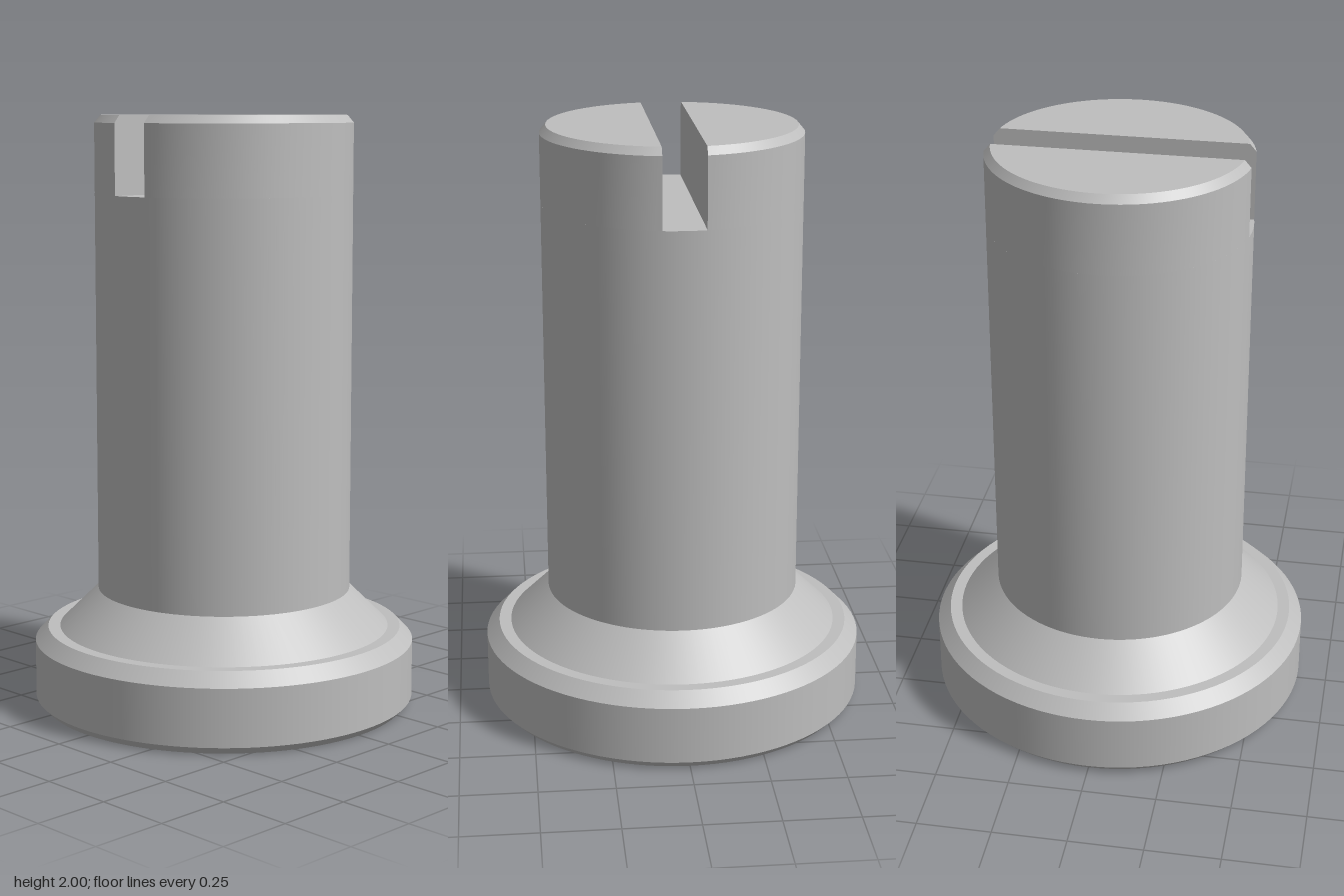
import * as THREE from 'three';
import { mergeGeometries } from 'three/addons/utils/BufferGeometryUtils.js';

const SEGMENTS = 96;
const SLOT_HALF = 0.07, SLOT_FLOOR = 1.742;

// Turned solid: every profile step is its own band, so edges between steps stay sharp.
function turned(profile) {
  const bands = [];
  for (let i = 0; i < profile.length - 1; i++) {
    const pair = [profile[i], profile[i + 1]].map(([r, y]) => new THREE.Vector2(r, y));
    bands.push(new THREE.LatheGeometry(pair, SEGMENTS));
  }
  return mergeGeometries(bands);
}

// Surface between two rows of points.
function strip(lower, upper) {
  const n = lower.length, index = [];
  for (let j = 0; j < n - 1; j++) {
    index.push(j, n + j, j + 1, j + 1, n + j, n + j + 1);
  }
  const g = new THREE.BufferGeometry().setFromPoints([...lower, ...upper]);
  g.setIndex(index);
  g.computeVertexNormals();
  return g;
}

// Arc of radius r at height y, cut off at the slot wall.
function arc(r, y) {
  const start = Math.asin(SLOT_HALF / r), points = [];
  for (let j = 0; j <= SEGMENTS / 2; j++) {
    const a = start + (Math.PI - 2 * start) * j / (SEGMENTS / 2);
    points.push(new THREE.Vector3(r * Math.cos(a), y, r * Math.sin(a)));
  }
  return points;
}

// One half of the slotted end: curved side, chamfer, slot wall and flat top.
function slottedHalf() {
  const rows = [arc(0.432, SLOT_FLOOR), arc(0.432, 1.975), arc(0.411, 2)];
  const parts = [];
  for (let i = 0; i < 2; i++) {
    parts.push(strip(rows[i], rows[i + 1]));
    const ends = row => [row[row.length - 1], row[0]];
    parts.push(strip(ends(rows[i]), ends(rows[i + 1])));
  }
  const chord = rows[2].map(p => new THREE.Vector3(p.x, p.y, SLOT_HALF));
  parts.push(strip(rows[2], chord));
  return mergeGeometries(parts);
}

export function createModel() {
  const model = new THREE.Group();
  model.name = 'slottedPin';
  const steel = new THREE.MeshStandardMaterial({ color: 0xbebebe });
  steel.name = 'grey steel';

  const add = (name, geometry) => {
    const mesh = new THREE.Mesh(geometry, steel);
    mesh.name = name;
    model.add(mesh);
    return mesh;
  };

  // Flange with chamfered rims and a narrow flat ledge
  add('flange', turned([[0, 0], [0.625, 0], [0.65, 0.026], [0.65, 0.22], [0.606, 0.265], [0.565, 0.265]]));
  // Cone from the ledge to the shaft
  add('coneShoulder', turned([[0.565, 0.265], [0.432, 0.395]]));
  // Shaft up to the slot floor
  add('shaft', turned([[0.432, 0.395], [0.432, SLOT_FLOOR], [0, SLOT_FLOOR]]));

  // Two mirrored halves on either side of the slot
  const half = slottedHalf();
  add('frontSlotHalf', half);
  add('backSlotHalf', half).rotation.y = Math.PI;

  return model;
}
